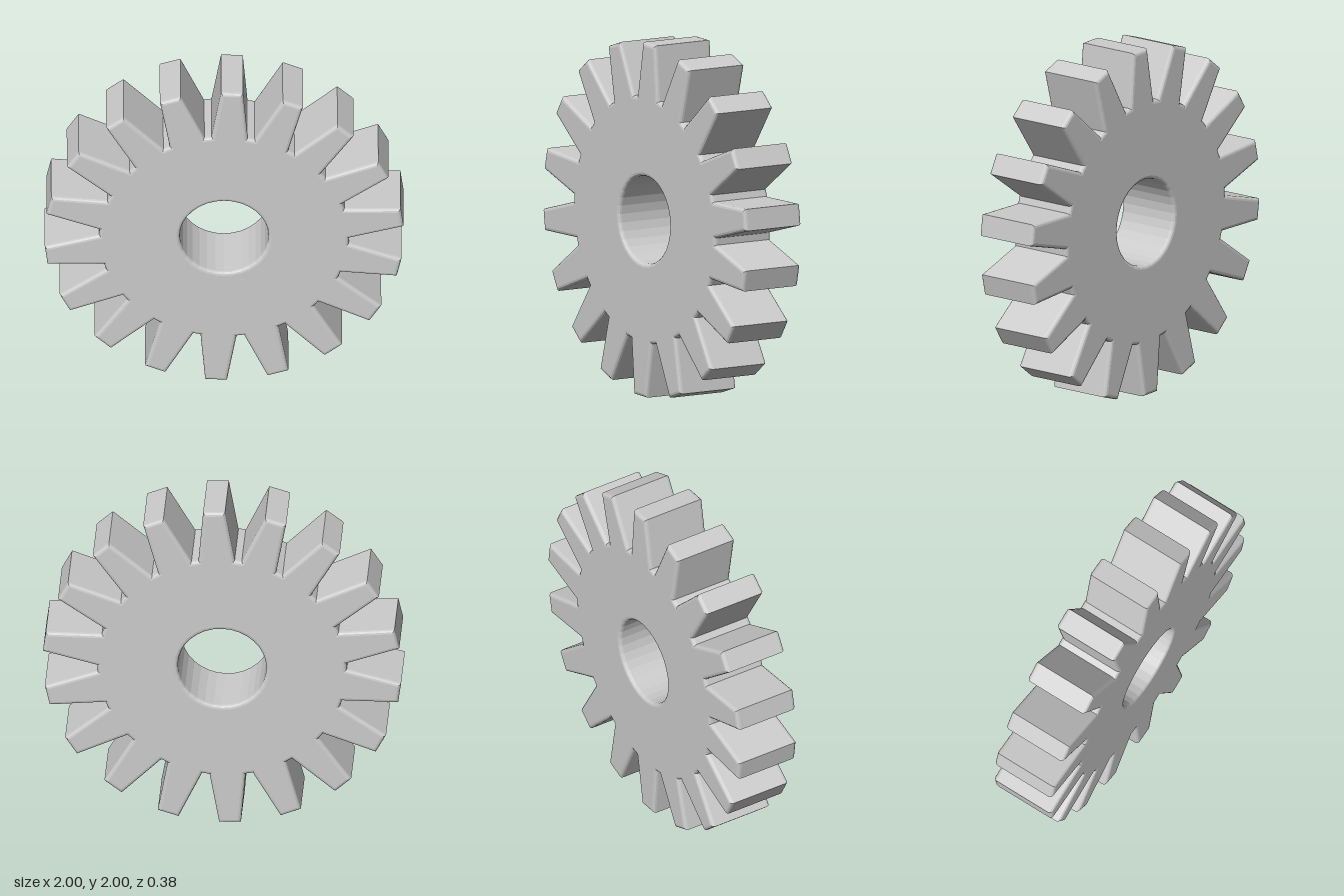
import * as THREE from 'three';

const TEETH = 18;
const TIP_R = 1.0, ROOT_R = 0.695, BORE_R = 0.247;
const HALF_DEPTH = 0.19, BEVEL = 0.02;
const deg = THREE.MathUtils.degToRad;

// Point on a circle, angle in degrees
const polar = (r, a) => new THREE.Vector2(r * Math.cos(deg(a)), r * Math.sin(deg(a)));

export function createModel() {
  const group = new THREE.Group();
  group.name = 'spurGear';

  // Tapered teeth: two root corners and two tip corners per pitch
  const pitch = 360 / TEETH, tipHalf = 3.5, rootHalf = 1.65, phase = 7.45;
  const outline = [];
  for (let i = 0; i < TEETH; i++) {
    const a = phase + i * pitch;
    outline.push(
      polar(ROOT_R, a - pitch / 2 + rootHalf),
      polar(TIP_R, a - tipHalf),
      polar(TIP_R, a + tipHalf),
      polar(ROOT_R, a + pitch / 2 - rootHalf),
    );
  }
  const shape = new THREE.Shape(outline);

  // Faceted central bore
  const bore = [];
  for (let i = 0; i < 32; i++) bore.push(polar(BORE_R, -i * 360 / 32));
  shape.holes.push(new THREE.Path(bore));

  // Rounded edges sit inside the outline
  const geometry = new THREE.ExtrudeGeometry(shape, {
    depth: 2 * (HALF_DEPTH - BEVEL),
    bevelEnabled: true,
    bevelThickness: BEVEL,
    bevelSize: BEVEL,
    bevelOffset: -BEVEL,
    bevelSegments: 3,
  });
  geometry.translate(0, 1, -(HALF_DEPTH - BEVEL));

  const gear = new THREE.Mesh(
    geometry,
    new THREE.MeshStandardMaterial({ color: 0xcccccc, flatShading: true }),
  );
  gear.name = 'gearBody';
  group.add(gear);
  return group;
}
